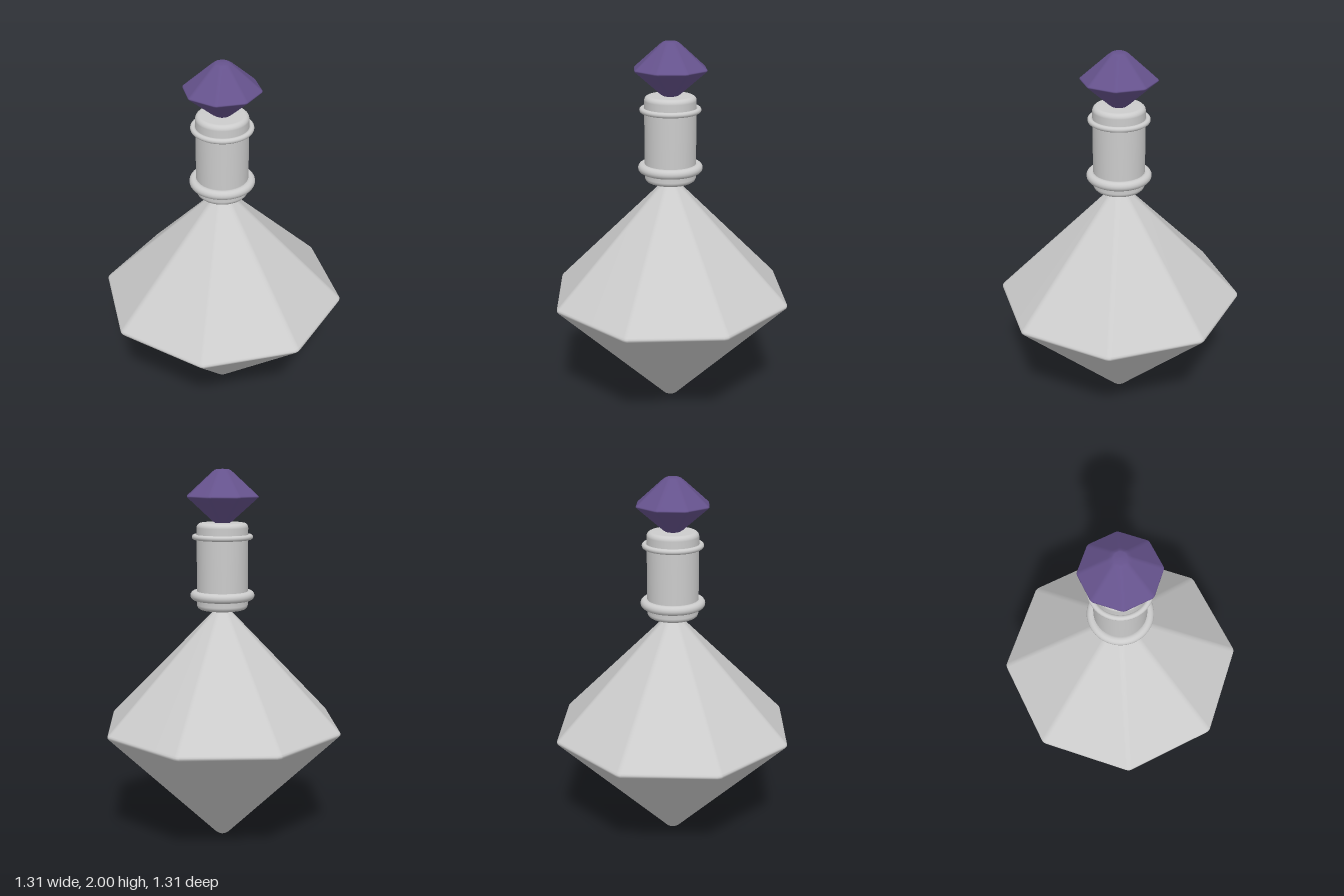
import * as THREE from 'three';

const SIDES = 8, ARC = 4;

// Octagonal gem with softened edges. Each row is [corner distance, edge rounding, height].
function gemGeometry(rows) {
  const positions = [], index = [];
  const ring = SIDES * (ARC + 1);
  for (const [core, round, y] of rows) {
    for (let k = 0; k < SIDES; k++) {
      const a = (k / SIDES) * Math.PI * 2;
      for (let s = 0; s <= ARC; s++) {
        const b = a + (s / ARC - 0.5) * (Math.PI * 2 / SIDES);
        positions.push(
          core * Math.cos(a) + round * Math.cos(b), y,
          -core * Math.sin(a) - round * Math.sin(b));
      }
    }
  }
  for (let i = 0; i < rows.length - 1; i++) {
    for (let j = 0; j < ring; j++) {
      const a = i * ring + j, b = i * ring + (j + 1) % ring;
      index.push(a, b, a + ring, b, b + ring, a + ring);
    }
  }
  const geometry = new THREE.BufferGeometry();
  geometry.setAttribute('position', new THREE.Float32BufferAttribute(positions, 3));
  geometry.setIndex(index);
  geometry.computeVertexNormals();
  return geometry;
}

// Mirrors the lower rows about the girdle height to complete a bipyramid.
function mirrored(rows, girdle) {
  const upper = rows.map(([c, r, y]) => [c, r, 2 * girdle - y]).reverse();
  return [...rows, ...upper];
}

export function createModel() {
  const group = new THREE.Group();
  const glass = new THREE.MeshStandardMaterial({ color: 0xcccccc });
  const purple = new THREE.MeshStandardMaterial({ color: 0x65528c });

  const add = (name, geometry, material, y = 0) => {
    const mesh = new THREE.Mesh(geometry, material);
    mesh.name = name;
    mesh.position.y = y;
    group.add(mesh);
    return mesh;
  };

  // Faceted bottle body
  add('body', gemGeometry(mirrored([
    [0, 0, 0], [0, 0.022, 0.001], [0, 0.04, 0.013],
    [0.609, 0.04, 0.628], [0.614, 0.041, 0.636],
  ], 0.64)), glass);

  // Solid neck with rounded rims
  const bottom = 1.27, top = 1.725, radius = 0.135, bevel = 0.025;
  const profile = [new THREE.Vector2(0, bottom)];
  for (const [cy, start] of [[bottom + bevel, -Math.PI / 2], [top - bevel, 0]]) {
    for (let i = 0; i <= 5; i++) {
      const t = start + (i / 5) * Math.PI / 2;
      profile.push(new THREE.Vector2(radius - bevel + bevel * Math.cos(t), cy + bevel * Math.sin(t)));
    }
  }
  profile.push(new THREE.Vector2(0, top));
  add('neck', new THREE.LatheGeometry(profile, 48), glass);

  // Rings around the neck
  for (const [name, y, outer, tube] of [['lowerRing', 1.345, 0.17, 0.025], ['upperRing', 1.652, 0.16, 0.014]]) {
    add(name, new THREE.TorusGeometry(outer - tube, tube, 16, 48), glass, y).rotation.x = Math.PI / 2;
  }

  // Faceted stopper
  add('stopper', gemGeometry(mirrored([
    [0, 0, 1.72], [0, 0.03, 1.721], [0.012, 0.028, 1.725], [0.03, 0.026, 1.736],
    [0.165, 0.027, 1.854], [0.168, 0.028, 1.858],
  ], 1.86)), purple);

  return group;
}
